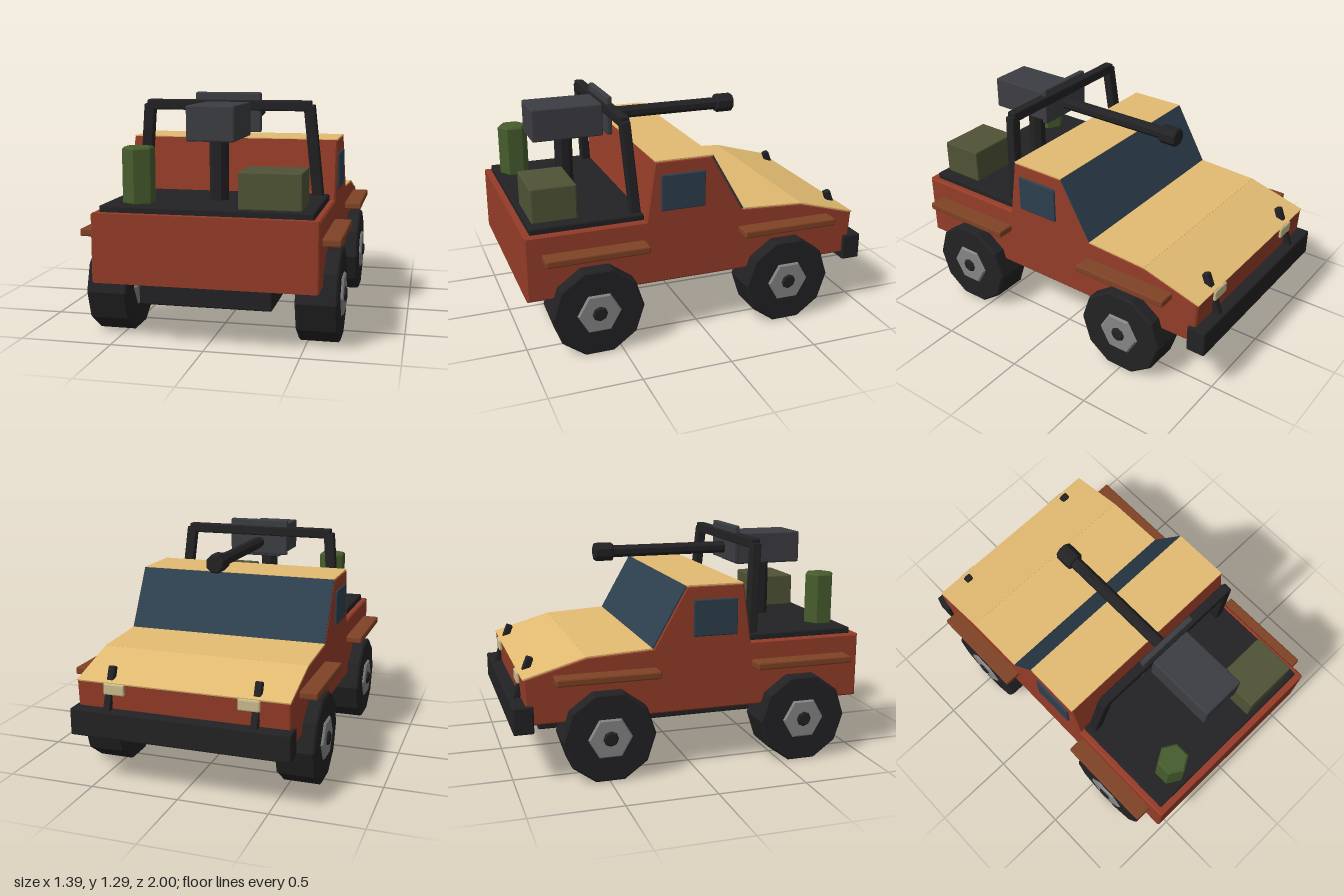
import * as THREE from 'three';
import { RoundedBoxGeometry } from 'three/addons/geometries/RoundedBoxGeometry.js';

const mat = (color) => new THREE.MeshStandardMaterial({ color, flatShading: true });
const M = {
  red: mat(0x943c28), tan: mat(0xe3bb72), glass: mat(0x2d3f4e), black: mat(0x222224),
  gun: mat(0x3c3d42), rust: mat(0x7f4225), hub: mat(0x858585), cream: mat(0xc8bb8c),
  can: mat(0x465c2d), crate: mat(0x4f5335),
};

export function createModel() {
  const g = new THREE.Group();
  g.name = 'armedPickup';

  const add = (name, geo, m, x = 0, y = 0, z = 0) => {
    const mesh = new THREE.Mesh(geo, m);
    mesh.name = name;
    mesh.position.set(x, y, z);
    g.add(mesh);
    return mesh;
  };
  // Box from its extents, with slightly softened edges
  const box = (name, m, [x0, x1], [y0, y1], [z0, z1]) => {
    const s = [x1 - x0, y1 - y0, z1 - z0];
    const r = Math.min(0.008, Math.min(...s) * 0.25);
    return add(name, new RoundedBoxGeometry(...s, 1, r), m, (x0 + x1) / 2, (y0 + y1) / 2, (z0 + z1) / 2);
  };
  // Bevelled prism with n sides, standing on y
  const prism = (r, h, n, turn = 0, b = 0.01) => new THREE.LatheGeometry([
    [0, -h / 2], [r - b, -h / 2], [r, -h / 2 + b], [r, h / 2 - b], [r - b, h / 2], [0, h / 2],
  ].map(([x, y]) => new THREE.Vector2(x, y)), n, turn);
  // Square bar between two points
  const bar = (name, m, a, b, w, d = w) => {
    const p = new THREE.Vector3(...a), q = new THREE.Vector3(...b);
    const dir = q.clone().sub(p);
    const mesh = add(name, new RoundedBoxGeometry(w, dir.length(), d, 1, 0.008), m);
    mesh.position.copy(p).add(q).multiplyScalar(0.5);
    mesh.quaternion.setFromUnitVectors(new THREE.Vector3(0, 1, 0), dir.normalize());
    return mesh;
  };

  // Body: side profile as [z, y], extruded across x
  const profile = [[0.99, 0.34], [0.99, 0.69], [0.327, 0.69], [0.278, 1.022], [-0.038, 1.022],
    [-0.226, 0.69], [-0.60, 0.67], [-0.93, 0.577], [-0.915, 0.34]];
  const shape = new THREE.Shape(profile.map(([z, y]) => new THREE.Vector2(-z, y)));
  const body = new THREE.ExtrudeGeometry(shape, {
    depth: 1.17, bevelEnabled: true, bevelSize: 0.009, bevelThickness: 0.009, bevelSegments: 1,
  });
  body.translate(0, 0, -0.585);
  body.rotateY(Math.PI / 2);
  add('body', body, M.red);

  // Thin panels lying on the roof, windshield and hood slopes
  const panel = (name, m, [z0, y0], [z1, y1]) => {
    const mesh = add(name, new THREE.BoxGeometry(1.184, 0.008, Math.hypot(z1 - z0, y1 - y0)), m,
      0, (y0 + y1) / 2, (z0 + z1) / 2);
    mesh.rotation.x = Math.atan2(y0 - y1, z1 - z0);
  };
  panel('roof', M.tan, [-0.048, 1.032], [0.283, 1.032]);
  panel('windshield', M.glass, [-0.236, 0.699], [-0.046, 1.032]);
  panel('hoodRear', M.tan, [-0.60, 0.68], [-0.236, 0.699]);
  panel('hoodFront', M.tan, [-0.942, 0.583], [-0.60, 0.68]);

  // Underside, bumper and bed floor
  box('chassis', M.black, [-0.35, 0.35], [0.22, 0.34], [-0.83, 0.96]);
  box('bumper', M.black, [-0.613, 0.613], [0.29, 0.44], [-1, -0.89]);
  box('bedFloor', M.black, [-0.56, 0.56], [0.69, 0.733], [0.335, 0.962]);

  for (const s of [-1, 1]) {
    const side = s < 0 ? 'Right' : 'Left';
    const span = (a, b) => (s > 0 ? [a, b] : [-b, -a]);

    // Wheels with hexagonal hubs and axle caps, fenders above
    for (const [end, z, f0, f1] of [['front', -0.495, -0.78, -0.213], ['rear', 0.63, 0.342, 0.91]]) {
      const wheelPart = (name, r, h, n, m) => {
        const geo = prism(r, h, n);
        geo.rotateZ(Math.PI / 2);
        // a corner points along z, so flats lie at top and bottom
        add(end + side + name, geo, m, s * 0.562, 0.247, z);
      };
      wheelPart('Tyre', 0.257, 0.22, 10, M.black);
      wheelPart('Hub', 0.123, 0.244, 6, M.hub);
      wheelPart('AxleCap', 0.043, 0.266, 8, M.black);
      box(end + side + 'Fender', M.rust, span(0.57, 0.69), [0.555, 0.596], [f0, f1]);
    }
    box('sideWindow' + side, M.glass, span(0.58, 0.605), [0.75, 0.955], [-0.005, 0.25]);
    box('headlight' + side, M.cream, span(0.315, 0.435), [0.52, 0.583], [-0.952, -0.915]);
    bar('grilleRod' + side, M.black, [s * 0.41, 0.40, -0.972], [s * 0.41, 0.66, -0.872], 0.04);
    bar('rollBarPost' + side, M.black, [s * 0.503, 0.71, 0.368], [s * 0.452, 1.23, 0.406], 0.062, 0.055);
  }
  box('rollBarTop', M.black, [-0.465, 0.465], [1.197, 1.255], [0.378, 0.433]);

  // Mounted gun
  add('gunPost', prism(0.052, 0.36, 8, Math.PI / 8, 0.004), M.black, 0, 0.90, 0.63);
  box('gunHousing', M.gun, [-0.128, 0.128], [1.06, 1.245], [0.426, 0.832]);
  box('gunShield', M.gun, [-0.185, 0.185], [1.078, 1.297], [0.388, 0.42]);
  const barrel = add('gunBarrel', prism(0.036, 0.78, 8, Math.PI / 8, 0.004), M.black, 0, 1.152, 0.06);
  const muzzle = add('muzzle', prism(0.055, 0.11, 8, Math.PI / 8, 0.008), M.black, 0, 1.152, -0.363);
  barrel.rotation.x = muzzle.rotation.x = Math.PI / 2;

  // Cargo
  add('fuelCan', prism(0.087, 0.30, 6), M.can, -0.377, 0.882, 0.848);
  box('crate', M.crate, [0.17, 0.495], [0.73, 0.925], [0.685, 0.935]);

  return g;
}
